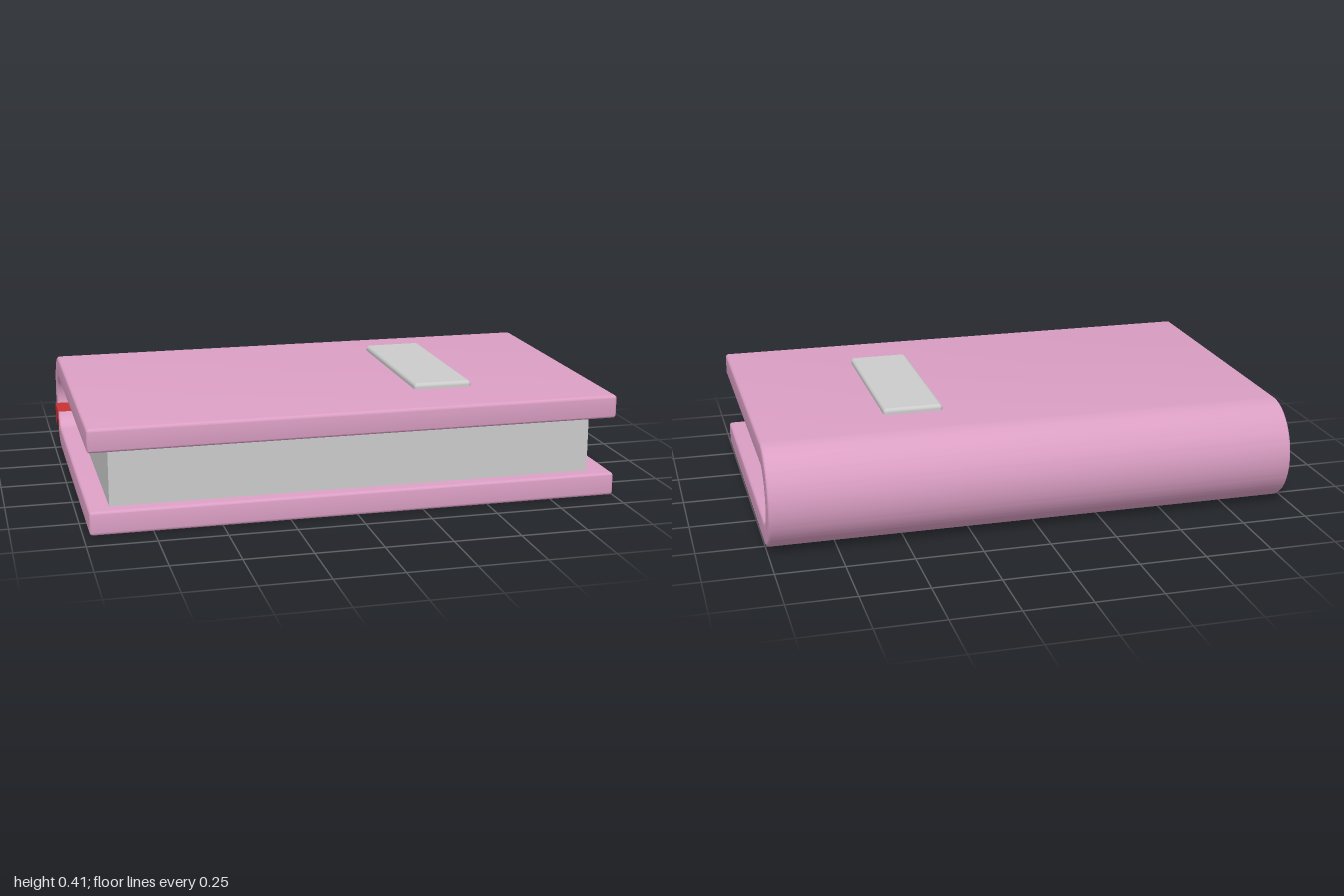
import * as THREE from 'three';
import { toCreasedNormals } from 'three/addons/utils/BufferGeometryUtils.js';
import { RoundedBoxGeometry } from 'three/addons/geometries/RoundedBoxGeometry.js';

const PINK = 0xdb9fc4, RED = 0xc83232, GREY = 0xcccccc;
const MID = 0.195; // mid height of the book

function addMesh(group, name, geometry, color, side = THREE.FrontSide) {
  const mesh = new THREE.Mesh(geometry, new THREE.MeshStandardMaterial({ color, side }));
  mesh.name = name;
  group.add(mesh);
  return mesh;
}

// Side profile (u = -z, v = y) extruded along x from x0 to x1
function extrudeAlongX(shape, x0, x1, bevel) {
  const geometry = new THREE.ExtrudeGeometry(shape, {
    depth: x1 - x0 - 2 * bevel, curveSegments: 32,
    bevelEnabled: bevel > 0, bevelSize: bevel, bevelThickness: bevel,
    bevelOffset: -bevel, bevelSegments: 4,
  });
  geometry.translate(0, 0, x0 + bevel).rotateY(Math.PI / 2);
  return toCreasedNormals(geometry, 0.3);
}

// U-shaped wrap: bottom board, rounded spine, top board
function coverShape() {
  const front = -0.65, bend = 0.475, inner = 0.107, r = 0.014;
  const s = new THREE.Shape();
  s.moveTo(front + r, 0);
  s.lineTo(bend, 0);
  s.absellipse(bend, MID, 0.175, MID, -Math.PI / 2, Math.PI / 2, false);
  s.lineTo(front + r, 2 * MID);
  s.quadraticCurveTo(front, 2 * MID, front, 2 * MID - r);
  s.lineTo(front, MID + inner + r);
  s.quadraticCurveTo(front, MID + inner, front + r, MID + inner);
  s.lineTo(bend, MID + inner);
  s.absellipse(bend, MID, 0.09, inner, Math.PI / 2, -Math.PI / 2, true);
  s.lineTo(front + r, MID - inner);
  s.quadraticCurveTo(front, MID - inner, front, MID - inner - r);
  s.lineTo(front, r);
  s.quadraticCurveTo(front, 0, front + r, 0);
  return s;
}

// Page block, rounded at the spine and set slightly into the boards
function pagesShape() {
  const h = 0.112, s = new THREE.Shape();
  s.moveTo(-0.595, MID - h);
  s.lineTo(0.475, MID - h);
  s.absellipse(0.475, MID, 0.094, h, -Math.PI / 2, Math.PI / 2, false);
  s.lineTo(-0.595, MID + h);
  s.closePath();
  return s;
}

// Ribbon: flat strip out of the pages, then a hanging swallowtail
function addRibbon(group) {
  const ribbon = new THREE.Group();
  ribbon.name = 'bookmarkRibbon';
  const y = 0.22, z0 = -0.39, z1 = -0.25;
  const strip = new THREE.PlaneGeometry(0.12, z1 - z0).rotateX(-Math.PI / 2);
  strip.translate(-0.94, y, (z0 + z1) / 2);
  addMesh(ribbon, 'ribbonStrip', strip, RED, THREE.DoubleSide);
  const tail = new THREE.Shape([
    [z0, y], [z0, y - 0.1], [(z0 + z1) / 2, y - 0.04], [z1, y - 0.1], [z1, y],
  ].map(([z, v]) => new THREE.Vector2(z, v)));
  const tailGeometry = new THREE.ShapeGeometry(tail).rotateY(-Math.PI / 2).translate(-1, 0, 0);
  addMesh(ribbon, 'ribbonTail', tailGeometry, RED, THREE.DoubleSide);
  group.add(ribbon);
}

export function createModel() {
  const book = new THREE.Group();
  book.name = 'book';
  addMesh(book, 'cover', extrudeAlongX(coverShape(), -0.977, 1, 0.012), PINK);
  addMesh(book, 'pages', extrudeAlongX(pagesShape(), -0.9, 0.912, 0), GREY);

  // Raised plate on the top board
  const plate = addMesh(book, 'coverPlate', new RoundedBoxGeometry(0.226, 0.05, 0.69, 4, 0.014), GREY);
  plate.position.set(0.403, 0.387, 0.042);

  addRibbon(book);
  return book;
}
